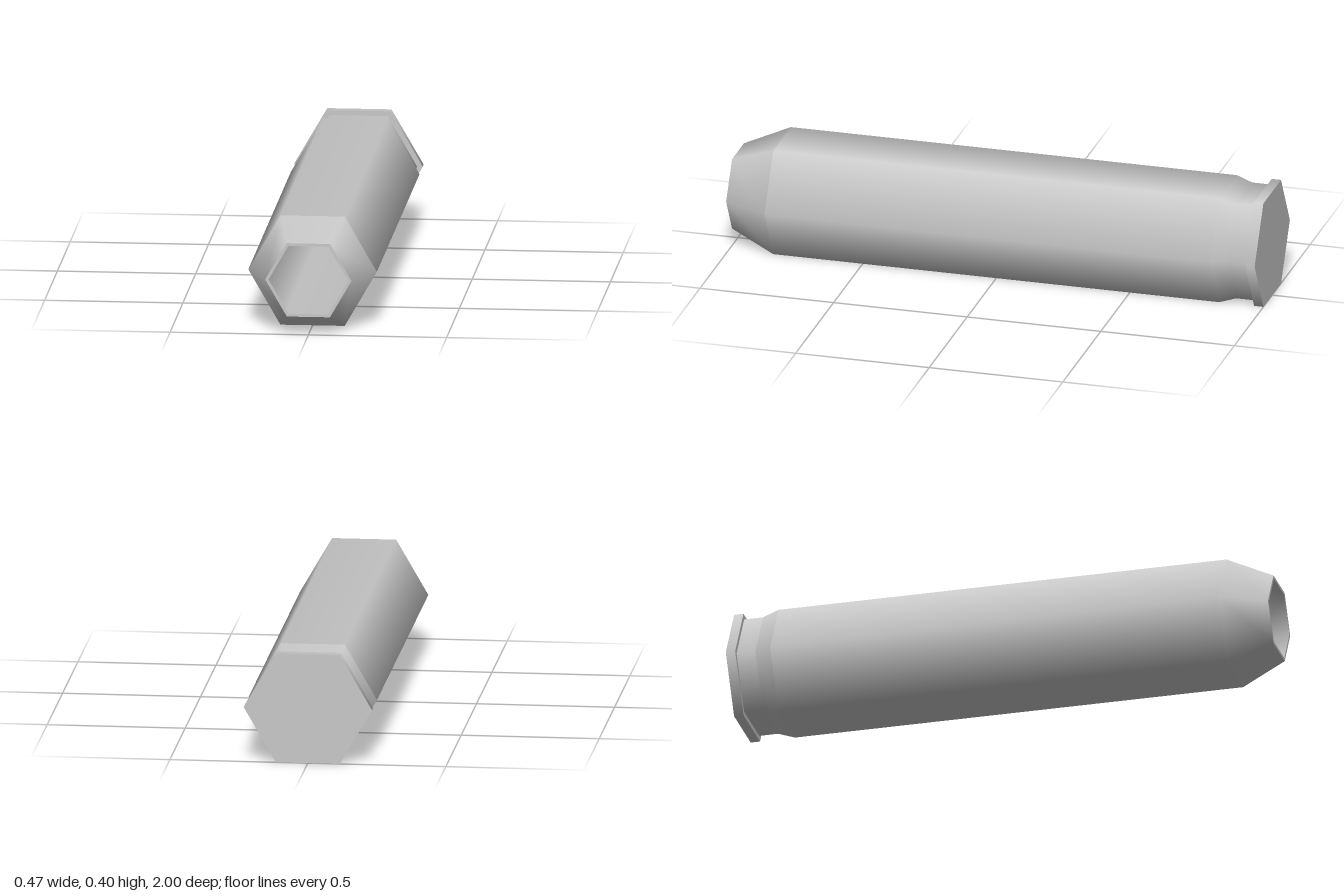
import * as THREE from 'three';

const SIDES = 6;
const R = 0.2325;                       // corner radius of the body
const AXIS_Y = R * Math.cos(Math.PI / 6); // rests on a flat side

export function createModel() {
  const model = new THREE.Group();
  model.name = 'hexagonalCasing';
  const metal = new THREE.MeshStandardMaterial({ color: 0xc8c8c8, side: THREE.DoubleSide });
  metal.name = 'grey metal';

  const add = (name, geometry, z) => {
    const mesh = new THREE.Mesh(geometry, metal);
    mesh.name = name;
    mesh.position.set(0, AXIS_Y, z);
    model.add(mesh);
    return mesh;
  };

  // Open six-sided band along z, smooth around, creased at its ends
  const band = (name, zFront, rFront, zBack, rBack) => {
    const g = new THREE.CylinderGeometry(rFront, rBack, zFront - zBack, SIDES, 1, true, Math.PI / 2);
    g.rotateX(Math.PI / 2);
    return add(name, g, (zFront + zBack) / 2);
  };

  // Outer shell, front to back
  band('taperedNose', 1, 0.156, 0.835, R);
  band('body', 0.835, R, -0.835, R);
  band('grooveSlope', -0.835, R, -0.895, 0.212);
  band('groove', -0.895, 0.212, -0.965, 0.212);
  band('baseFlange', -0.965, R, -1, R);

  // Hollow inside, following the shell
  band('noseInside', 1, 0.144, 0.835, 0.22);
  band('bodyInside', 0.835, 0.22, -0.835, 0.22);

  // Flat faces across the axis
  add('mouthRim', new THREE.RingGeometry(0.144, 0.156, SIDES), 1);
  add('flangeShoulder', new THREE.RingGeometry(0.212, R, SIDES), -0.965);
  add('insideFloor', new THREE.CircleGeometry(0.22, SIDES), -0.835);
  add('baseFace', new THREE.CircleGeometry(R, SIDES), -1).rotation.y = Math.PI;

  return model;
}
